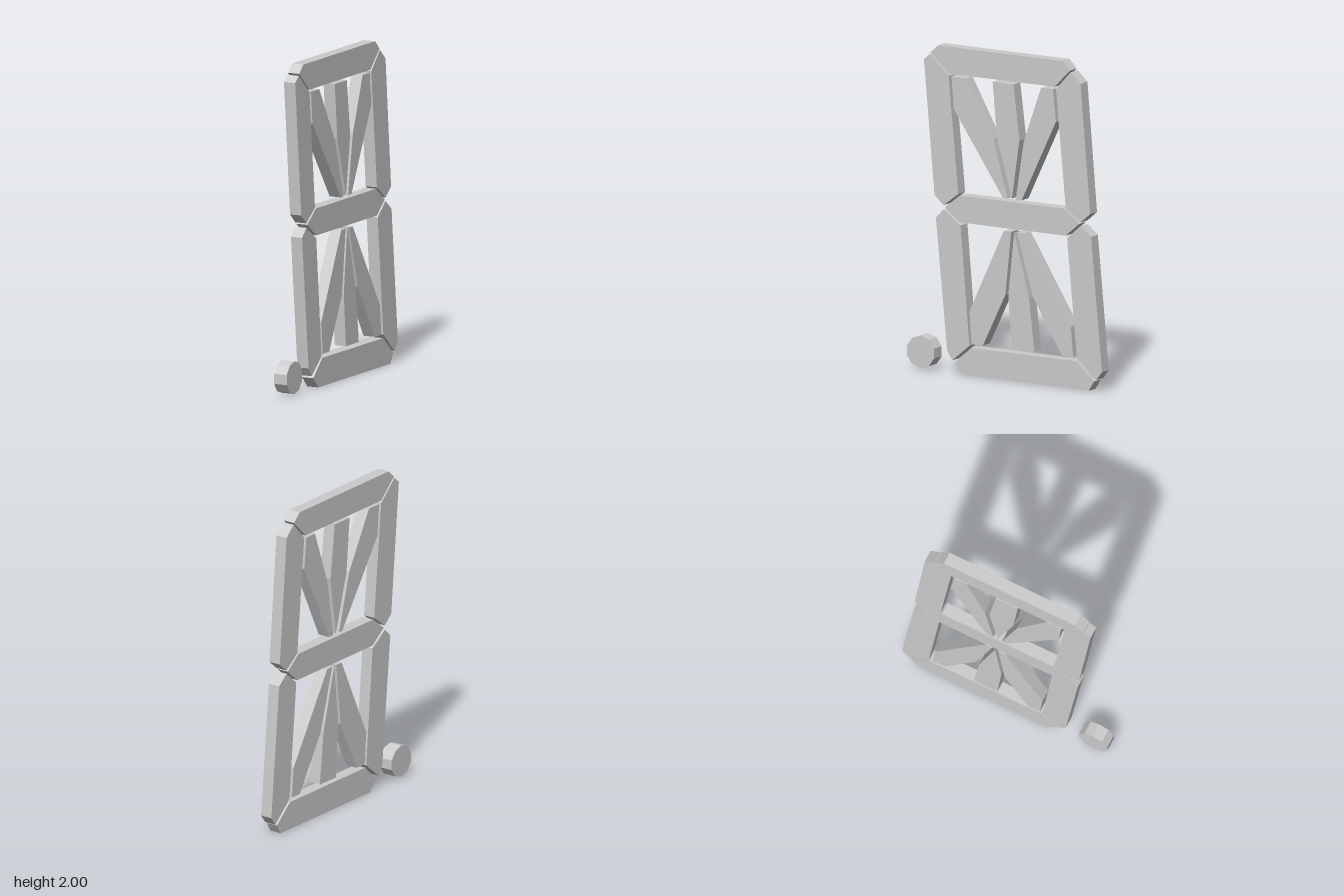
import * as THREE from 'three';

// Segment outlines as [z, y] corners
const SEGMENTS = {
  topBar: [[0.527, 1.952], [0.474, 2], [-0.41, 2], [-0.463, 1.947], [-0.352, 1.835], [0.4, 1.835]],
  upperFrontBar: [[0.575, 1.904], [0.532, 1.941], [0.4, 1.82], [0.331, 1.104], [0.437, 1.025], [0.5, 1.083]],
  upperBackBar: [[-0.469, 1.938], [-0.538, 1.874], [-0.606, 1.083], [-0.538, 1.025], [-0.432, 1.104], [-0.363, 1.825]],
  middleBar: [[0.426, 1.014], [0.32, 1.097], [-0.421, 1.097], [-0.527, 1.014], [-0.432, 0.932], [0.315, 0.932]],
  lowerFrontBar: [[0.49, 0.945], [0.437, 0.998], [0.315, 0.914], [0.252, 0.183], [0.373, 0.082], [0.41, 0.135]],
  lowerBackBar: [[-0.442, 0.919], [-0.538, 1.004], [-0.612, 0.945], [-0.69, 0.124], [-0.649, 0.071], [-0.511, 0.193]],
  bottomBar: [[0.352, 0.066], [0.241, 0.172], [-0.506, 0.172], [-0.633, 0.061], [-0.596, 0], [0.289, 0]],
  upperFrontDiagonal: [[0.379, 1.819], [0.278, 1.819], [0.082, 1.47], [-0.019, 1.115], [0.013, 1.115], [0.363, 1.623]],
  upperCentreWedge: [[0.087, 1.819], [-0.061, 1.819], [-0.103, 1.48], [-0.05, 1.118], [0.056, 1.48]],
  upperBackDiagonal: [[-0.257, 1.819], [-0.342, 1.819], [-0.363, 1.623], [-0.119, 1.115], [-0.077, 1.115], [-0.135, 1.48]],
  lowerFrontDiagonal: [[0.008, 0.914], [-0.045, 0.914], [-0.003, 0.522], [0.156, 0.196], [0.236, 0.196], [0.252, 0.395]],
  lowerCentreWedge: [[-0.066, 0.912], [-0.172, 0.522], [-0.209, 0.196], [-0.05, 0.196], [-0.024, 0.522]],
  lowerBackDiagonal: [[-0.087, 0.914], [-0.135, 0.914], [-0.469, 0.38], [-0.485, 0.196], [-0.405, 0.196], [-0.199, 0.533]],
};

const SEGMENT_BACK = -0.041;
const SEGMENT_DEPTH = 0.077;

export function createModel() {
  const model = new THREE.Group();
  model.name = 'segmentDisplay';
  const material = new THREE.MeshStandardMaterial({ color: 0xcccccc, flatShading: true });

  const add = (name, geometry) => {
    const mesh = new THREE.Mesh(geometry, material);
    mesh.name = name;
    model.add(mesh);
    return mesh;
  };

  // Flat bars, extruded along x
  for (const [name, corners] of Object.entries(SEGMENTS)) {
    const shape = new THREE.Shape(corners.map(([z, y]) => new THREE.Vector2(-z, y)));
    const geometry = new THREE.ExtrudeGeometry(shape, { depth: SEGMENT_DEPTH, bevelEnabled: false });
    geometry.rotateY(Math.PI / 2).translate(SEGMENT_BACK, 0, 0);
    add(name, geometry);
  }

  // Ten-sided decimal point, a little thicker than the bars
  const dot = new THREE.CylinderGeometry(0.1, 0.1, 0.087, 10, 1, false, Math.PI / 2);
  dot.rotateZ(Math.PI / 2);
  add('decimalPoint', dot).position.set(-0.001, 0.11, 0.595);

  return model;
}
